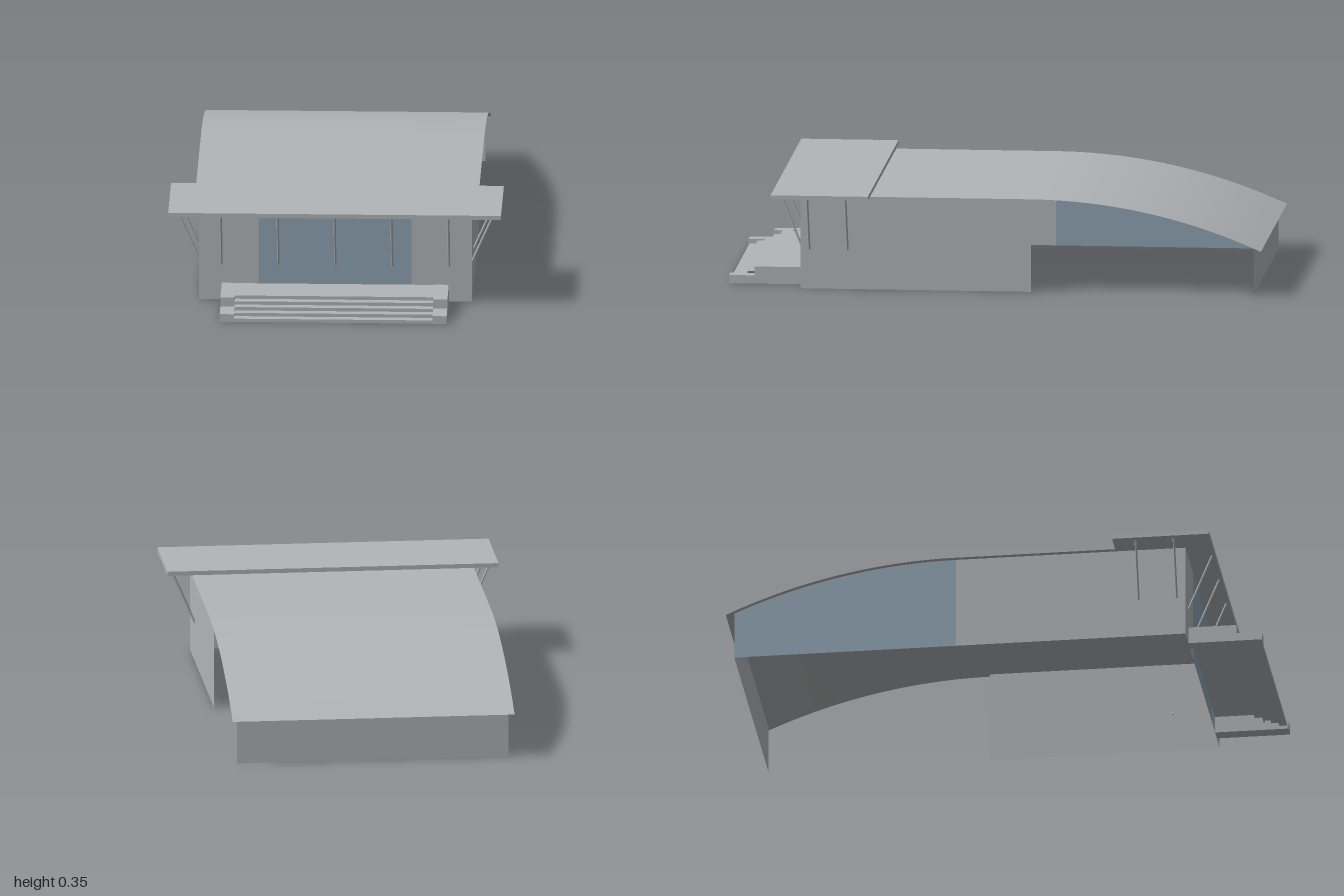
import * as THREE from 'three';

const material = (name, color) => {
  const m = new THREE.MeshStandardMaterial({ color, side: THREE.DoubleSide });
  m.name = name;
  return m;
};

export function createModel() {
  const concrete = material('concrete grey', 0xb3b6b8);
  const glass = material('glass blue', 0x8fa5b3);

  const model = new THREE.Group();
  model.name = 'pavilion';
  const add = (name, geometry, mat = concrete) => {
    const mesh = new THREE.Mesh(geometry, mat);
    mesh.name = name;
    model.add(mesh);
    return mesh;
  };

  // Main dimensions, in the building's own axes
  const mid = -0.033, half = 0.48, front = 0.683, back = -0.915;
  const height = 0.333, curveStart = -0.13, radius = 1.98;
  const roofY = (z) => {
    const d = Math.max(0, curveStart - z);
    return height - radius + Math.sqrt(radius * radius - d * d);
  };
  const curve = (from, to, n) => Array.from({ length: n + 1 }, (_, i) => {
    const z = from + ((to - from) * i) / n;
    return [z, roofY(z)];
  });

  // Sheet swept sideways from x0 to x1 along a [z, y] profile
  const sheet = (x0, x1, profile, smooth = false) => {
    const pos = [], index = [];
    profile.forEach(([z, y], i) => {
      pos.push(x0, y, z, x1, y, z);
      const k = i * 2;
      if (i) index.push(k - 2, k - 1, k + 1, k - 2, k + 1, k);
    });
    let g = new THREE.BufferGeometry();
    g.setAttribute('position', new THREE.Float32BufferAttribute(pos, 3));
    g.setIndex(index);
    if (!smooth) g = g.toNonIndexed();
    g.computeVertexNormals();
    return g;
  };

  // Flat side panel, or solid when depth is given, from a [z, y] outline
  const side = (x, outline, depth = 0) => {
    const shape = new THREE.Shape(outline.map(([z, y]) => new THREE.Vector2(z, y)));
    const g = depth
      ? new THREE.ExtrudeGeometry(shape, { depth, bevelEnabled: false })
      : new THREE.ShapeGeometry(shape);
    return g.rotateY(-Math.PI / 2).translate(x, 0, 0);
  };

  // Roof: flat at the front, falling in an arc to the back
  add('roof', sheet(mid - 0.498, mid + 0.498,
    [[0.44, height], ...curve(curveStart, -0.943, 28)], true));

  // Front wall with its wide window
  const upright = [[front, 0], [front, height]];
  add('frontWallRight', sheet(mid - half, mid - 0.268, upright));
  add('frontWallLeft', sheet(mid + 0.268, mid + half, upright));
  add('frontWindow', sheet(mid - 0.268, mid + 0.268, upright), glass);
  add('backWall', sheet(mid - half, mid + half, [[back, roofY(back)], [back, 0]]));

  // Side walls, with glazing under the arc on one side and an open bay on the other
  const panel = [[curveStart, 0], [front, 0], [front, height], [curveStart, height]];
  for (const s of [-1, 1]) {
    add(s < 0 ? 'rightWall' : 'leftWall', side(mid + s * half, panel));
  }
  add('sideWindow', side(mid - half,
    [[back, 0], [curveStart, 0], ...curve(curveStart, back, 24)]), glass);

  // Canopy slab
  add('canopy', new THREE.BoxGeometry(1.17, 0.015, 0.343))
    .position.set(mid, height + 0.0075, 0.6075);

  // Slanted canopy struts
  const up = new THREE.Vector3(0, 1, 0);
  const strut = (name, a, b) => {
    const from = new THREE.Vector3(...a), dir = new THREE.Vector3(...b).sub(from);
    const mesh = add(name, new THREE.CylinderGeometry(0.004, 0.004, dir.length(), 8));
    mesh.position.copy(from).addScaledVector(dir, 0.5);
    mesh.quaternion.setFromUnitVectors(up, dir.normalize());
  };
  for (let i = -2; i <= 2; i++) {
    const x = mid + i * 0.2;
    strut('frontStrut', [x, 0.13, front], [x, height, 0.767]);
  }
  for (const s of [-1, 1]) {
    for (const z of [0.652, 0.517]) {
      strut('sideStrut', [mid + s * half, 0.14, z], [mid + s * (half + 0.085), height, z]);
    }
  }

  // Entrance steps: folded treads and risers up to the landing
  const stepCount = 5, rise = 0.012, tread = 0.029, nose = 0.94;
  const stairs = [[nose, 0]];
  for (let i = 0; i < stepCount; i++) {
    stairs.push([nose - i * tread, (i + 1) * rise]);
    stairs.push([i === stepCount - 1 ? front : nose - (i + 1) * tread, (i + 1) * rise]);
  }
  add('entranceSteps', sheet(mid - 0.349, mid + 0.349, stairs));

  // Two-level cheek blocks beside the steps
  const cheek = [[front, 0], [0.943, 0], [0.943, 0.029], [0.853, 0.029], [0.853, 0.061], [front, 0.061]];
  add('rightCheek', side(mid - 0.349, cheek, 0.05));
  add('leftCheek', side(mid + 0.399, cheek, 0.05));

  // The building stands turned slightly on its plot
  const root = new THREE.Group();
  root.name = 'building';
  model.rotation.y = 0.1465;
  root.add(model);
  return root;
}
